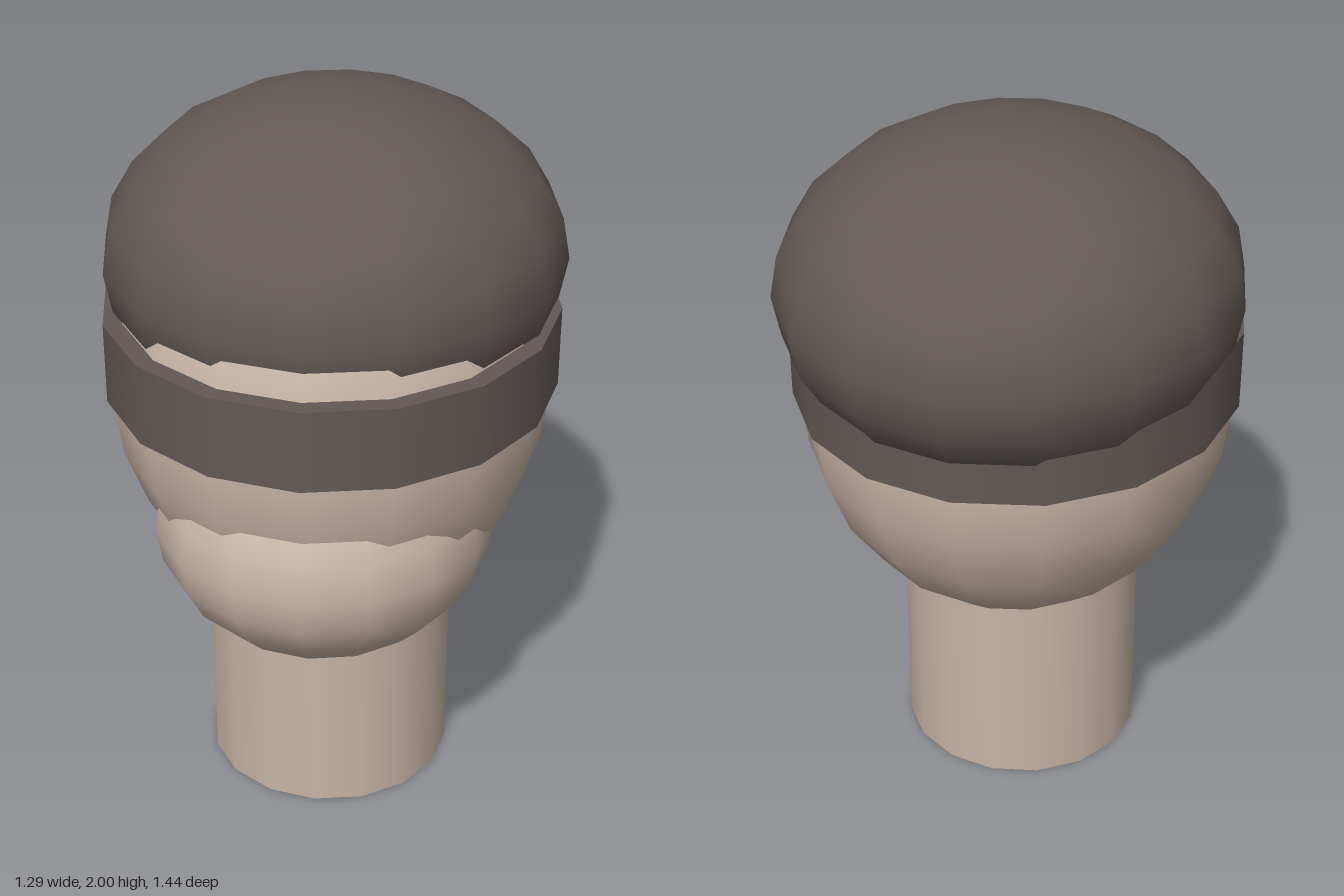
import * as THREE from 'three';

export function createModel() {
  const group = new THREE.Group();
  group.name = 'headBust';

  const skin = new THREE.MeshStandardMaterial({ color: 0xc8b5a6 });
  skin.name = 'skin';
  const hair = new THREE.MeshStandardMaterial({ color: 0x625955 });
  hair.name = 'dark hair';

  const add = (name, geometry, material, y, z) => {
    const mesh = new THREE.Mesh(geometry, material);
    mesh.name = name;
    mesh.position.set(0, y, z);
    group.add(mesh);
  };
  // Ellipsoid with radii rx, ry, rz
  const ellipsoid = (rx, ry, rz) => new THREE.SphereGeometry(1, 16, 12).scale(rx, ry, rz);
  // Capped elliptical cylinder
  const drum = (rx, height, rz) => new THREE.CylinderGeometry(1, 1, height, 16).scale(rx, 1, rz);

  // Neck, running up into the skull
  add('neck', drum(0.352, 0.76, 0.352), skin, 0.38, 0.09);

  // Skull and the jaw bulging forward from it
  add('skull', ellipsoid(0.615, 0.69, 0.655), skin, 1.22, 0.04);
  add('jaw', ellipsoid(0.48, 0.385, 0.52), skin, 0.865, 0.2);

  // Cap of hair, set slightly back, and the headband
  add('hairCap', ellipsoid(0.643, 0.45, 0.68), hair, 1.55, -0.04);
  add('headband', drum(0.632, 0.23, 0.67), hair, 1.322, 0.04);

  return group;
}
